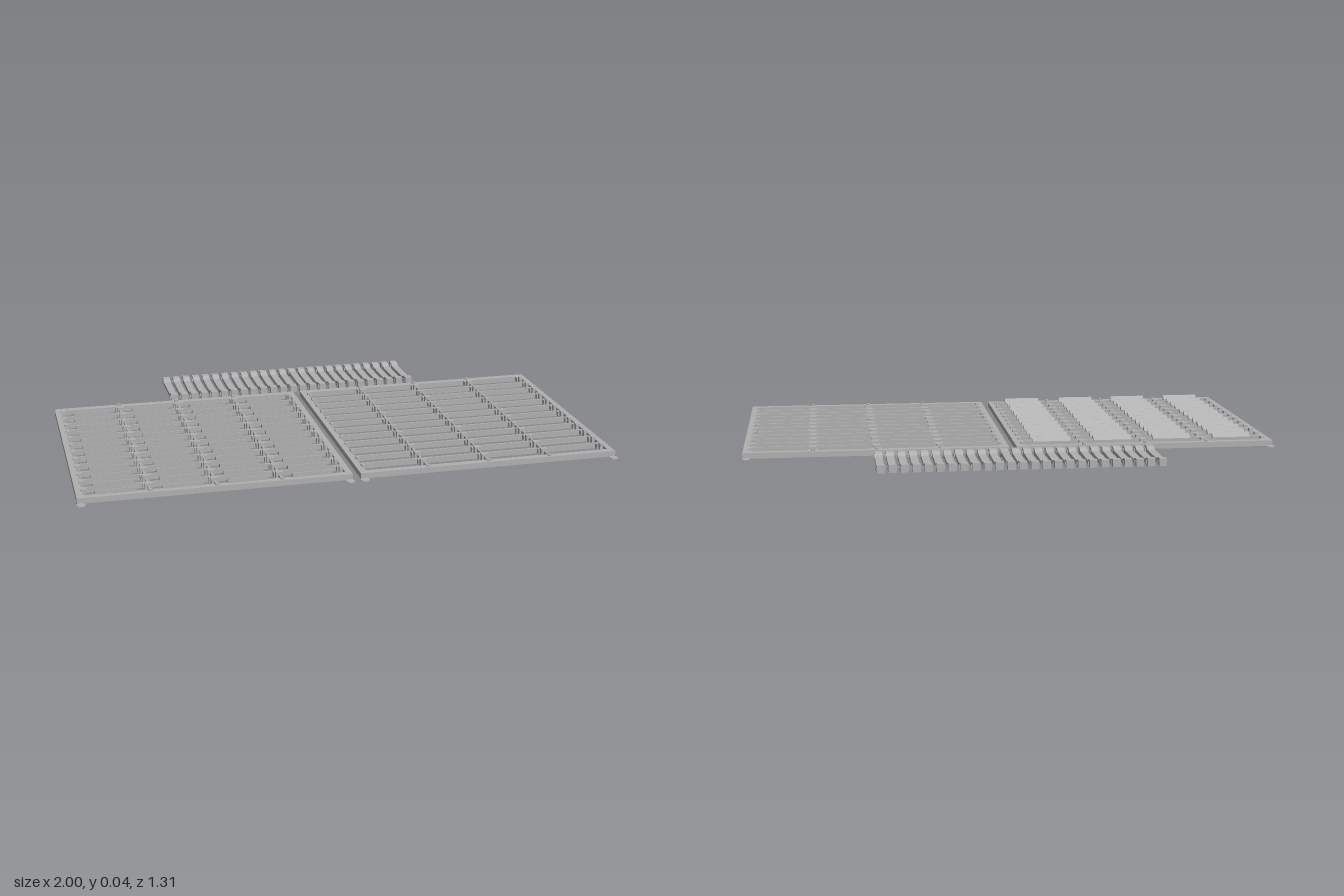
import * as THREE from 'three';

const grey = new THREE.MeshStandardMaterial({ color: 0xb0b0b0 });
grey.name = 'grey plastic';

function add(parent, name, geometry, x = 0, y = 0, z = 0) {
  const mesh = new THREE.Mesh(geometry, grey);
  mesh.name = name;
  mesh.position.set(x, y, z);
  parent.add(mesh);
  return mesh;
}

// Box given by its centre in x and z, and by its bottom and top
function box(parent, name, x, z, w, d, y0, y1) {
  return add(parent, name, new THREE.BoxGeometry(w, y1 - y0, d), x, (y0 + y1) / 2, z);
}

// Side profile of [z, y] points, extruded along x and centred on x = 0
function extrudeX(points, width) {
  const shape = new THREE.Shape(points.map(([z, y]) => new THREE.Vector2(z, y)));
  return new THREE.ExtrudeGeometry(shape, { depth: width, bevelEnabled: false })
    .translate(0, 0, -width / 2).rotateY(-Math.PI / 2);
}

const TOP = 0.021, PITCH = 0.077, FIRST = -0.25;
const HALF = 0.4915, Z0 = -0.355, Z1 = 0.62, MID = (Z0 + Z1) / 2;
const DIVIDERS = [-0.235, 0, 0.235];

function makeTray(withTabs) {
  const tray = new THREE.Group();
  tray.name = withTabs ? 'tabbedTray' : 'plainTray';

  // Outer frame
  box(tray, 'backRail', 0, Z0 + 0.0135, HALF * 2, 0.027, 0, TOP);
  box(tray, 'frontRail', 0, Z1 - 0.0135, HALF * 2, 0.027, 0, TOP);
  for (const s of [-1, 1]) {
    box(tray, 'sideRail', s * (HALF - 0.011), MID, 0.022, Z1 - Z0 - 0.054, 0, TOP);
    // Thin round feet at the corners
    for (const z of [-0.37, 0.637])
      add(tray, 'cornerDisc', new THREE.CylinderGeometry(0.016, 0.016, 0.003, 20), s * 0.479, 0.0015, z);
  }

  // Dividers and their end pins
  for (const x of DIVIDERS) {
    box(tray, 'divider', x, MID, 0.006, Z1 - Z0 - 0.054, 0, TOP);
    for (const z of [Z0 + 0.0135, Z1 - 0.0135])
      add(tray, 'pin', new THREE.CylinderGeometry(0.007, 0.007, 0.008, 12), x, TOP + 0.003, z);
  }

  // Cross bars
  for (let i = 0; i < 11; i++)
    box(tray, 'crossBar', 0, FIRST + i * PITCH, HALF * 2 - 0.044, 0.007, 0, TOP);

  // Stepped clips in every cell, cut in half along the side rails
  for (let i = 0; i < 12; i++) {
    const z = FIRST + (i - 1) * PITCH;
    for (const x of DIVIDERS) {
      box(tray, 'clipBase', x, z + 0.011, 0.034, 0.022, 0.003, TOP);
      box(tray, 'clipTop', x, z + 0.028, 0.024, 0.02, 0.003, 0.028);
    }
    for (const s of [-1, 1]) {
      box(tray, 'sideClipBase', s * (HALF - 0.03), z + 0.011, 0.017, 0.022, 0.003, TOP);
      box(tray, 'sideClipTop', s * (HALF - 0.027), z + 0.028, 0.013, 0.02, 0.003, 0.028);
    }
  }

  // Wedge tabs standing on the cross bars and front rail
  if (withTabs) {
    const wedge = extrudeX([[-0.02, 0.018], [0.003, 0.018], [0.003, 0.037], [0, 0.037], [-0.02, TOP]], 0.146);
    for (let i = 0; i < 12; i++)
      for (const x of [-0.353, -0.118, 0.112, 0.347])
        add(tray, 'wedgeTab', wedge, x, 0, FIRST + i * PITCH);
  }
  return tray;
}

// Row of loose slats with raised ends
function makeSlats() {
  const slats = new THREE.Group();
  slats.name = 'looseSlats';
  const body = extrudeX([
    [-0.656, 0], [-0.63, 0], [-0.626, 0.004], [-0.436, 0.004], [-0.432, 0], [-0.406, 0],
    [-0.406, 0.028], [-0.434, 0.028], [-0.458, 0.018], [-0.607, 0.018], [-0.632, 0.028], [-0.656, 0.028],
  ], 0.028);
  const peg = new THREE.BoxGeometry(0.034, 0.013, 0.011);
  for (let i = 0; i < 25; i++) {
    const slat = new THREE.Group();
    slat.name = 'slat';
    add(slat, 'slatBody', body);
    for (const z of [-0.424, -0.632]) add(slat, 'slatPeg', peg, 0, 0.012, z);
    slat.position.x = -0.505 + i * 0.042;
    // One slat lies upside down
    if (i === 13) {
      slat.rotation.z = Math.PI;
      slat.position.y = 0.028;
    }
    slats.add(slat);
  }
  return slats;
}

export function createModel() {
  const model = new THREE.Group();
  model.name = 'traySet';
  const tabbed = makeTray(true);
  tabbed.position.x = -0.5075;
  const plain = makeTray(false);
  plain.position.x = 0.5045;
  model.add(tabbed, plain, makeSlats());
  return model;
}
